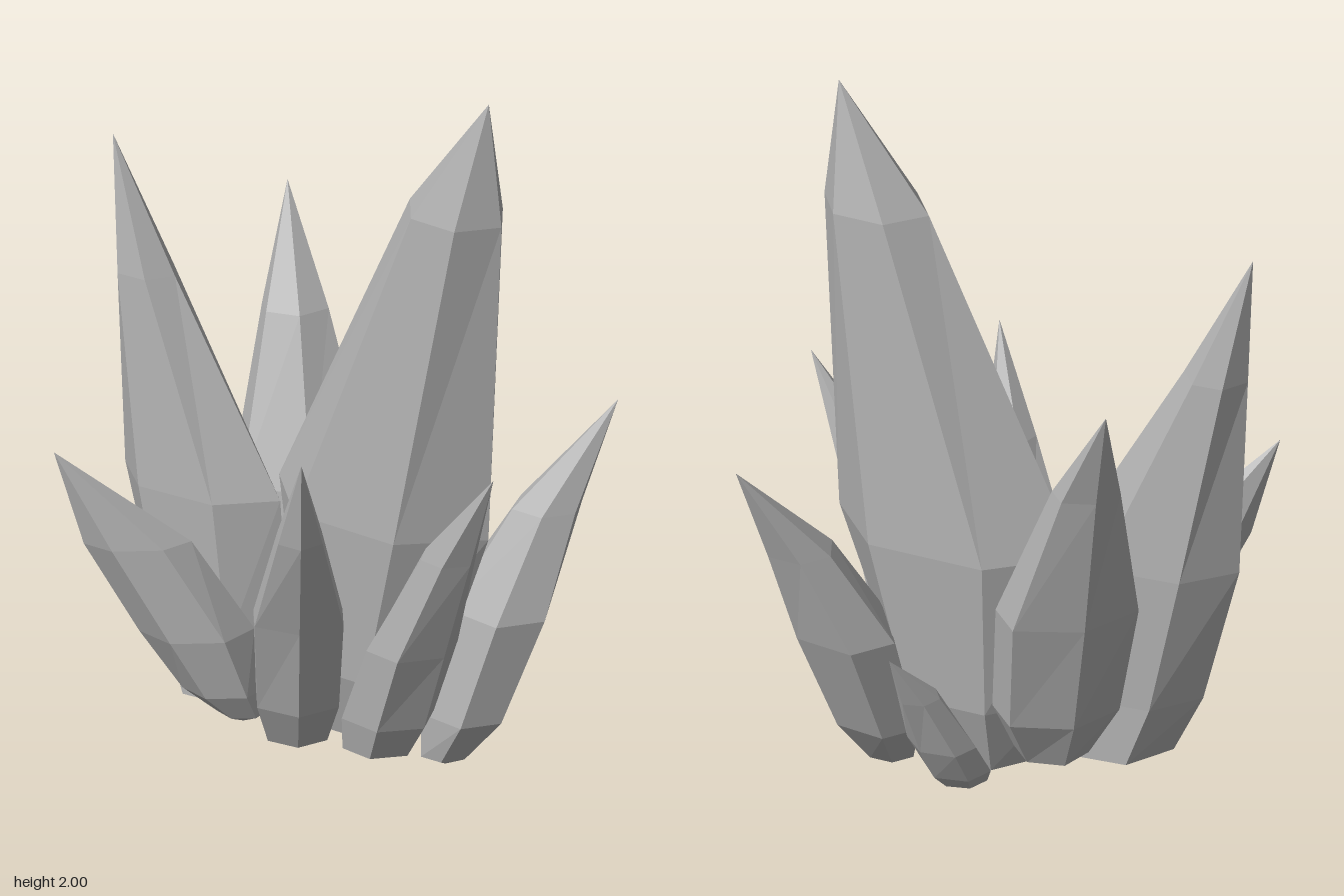
import * as THREE from 'three';

const { lerp } = THREE.MathUtils;

const stone = new THREE.MeshStandardMaterial({ color: 0xb0b0b0, flatShading: true });
stone.name = 'grey crystal';

// Ring corners: [along the lean (-1 inner .. 1 outer), across]
const HEX = [[1, 0], [0.5, 1], [-0.45, 1], [-1, 0], [-0.45, -1], [0.5, -1]];

// Each crystal leans from its root (x, z) to its tip (x, y, z).
// foot: [height, radius]; belly and shoulder: [height, inner edge, outer edge, half width].
// Edges are measured from the root along the lean.
const CRYSTALS = [
  { name: 'mainCrystal', root: [0.05, -0.07], tip: [0.5, 2, -0.03],
    foot: [0.08, 0.14], belly: [0.72, -0.27, 0.45, 0.185], shoulder: [1.65, 0.18, 0.495, 0.105] },
  { name: 'leftTallCrystal', root: [-0.28, 0.02], tip: [-0.68, 1.65, 0.02],
    foot: [0.13, 0.17], belly: [0.7, -0.14, 0.36, 0.125], shoulder: [1.28, 0.2, 0.385, 0.07] },
  { name: 'backLeftCrystal', root: [-0.17, -0.17], tip: [-0.46, 1.38, -0.5],
    foot: [0.17, 0.11], belly: [0.65, -0.02, 0.27, 0.18], shoulder: [1.08, 0.2, 0.36, 0.085] },
  { name: 'backRightCrystal', root: [0.32, -0.09], tip: [0.62, 1, -0.48],
    foot: [0.03, 0.07], belly: [0.45, 0.01, 0.3, 0.16], shoulder: [0.72, 0.19, 0.39, 0.085] },
  { name: 'backSmallCrystal', root: [0.07, -0.2], tip: [0.18, 0.51, -0.47],
    foot: [0.05, 0.07], belly: [0.19, 0, 0.17, 0.09], shoulder: [0.36, 0.11, 0.24, 0.05] },
  { name: 'frontLeftCrystal', root: [-0.18, 0.14], tip: [-0.59, 0.89, 0.445],
    foot: [0.12, 0.07], belly: [0.36, -0.03, 0.28, 0.095], shoulder: [0.62, 0.14, 0.43, 0.06] },
  { name: 'frontCrystal', root: [0, 0.15], tip: [0.245, 1.07, 0.5],
    foot: [0.1, 0.1], belly: [0.5, 0.02, 0.26, 0.12], shoulder: [0.8, 0.2, 0.38, 0.06] },
  { name: 'rightCrystal', root: [0.25, 0.13], tip: [0.68, 1.03, 0.22],
    foot: [0.12, 0.11], belly: [0.45, 0, 0.25, 0.115], shoulder: [0.75, 0.18, 0.35, 0.065] },
];

// Rings from foot to shoulder, with a hip that flares just above the foot
function crystalRings({ foot: [footY, radius], belly, shoulder }) {
  const [bellyY, inner, outer, half] = belly;
  const footHalf = radius * 0.8;
  const hip = [
    lerp(footY, bellyY, 0.3), lerp(-radius, Math.min(-radius, inner), 0.5),
    lerp(radius, outer, 0.45), lerp(footHalf, half, 0.75)];
  return [[footY, -radius, radius, footHalf], hip, belly, shoulder];
}

// Lofts hexagonal rings into a closed shard with a pointed top and a blunt root
function shardGeometry(crystal) {
  const { root, tip, foot } = crystal;
  const lean = new THREE.Vector2(tip[0] - root[0], tip[2] - root[1]).normalize();
  const place = (along, across, y) => [
    root[0] + lean.x * along - lean.y * across, y,
    root[1] + lean.y * along + lean.x * across];

  const loops = crystalRings(crystal).map(([y, inner, outer, half]) => HEX.map(([u, v]) =>
    place((inner + outer) / 2 + u * (outer - inner) / 2, v * half, y)));
  const top = loops[loops.length - 1];
  const base = place(0, 0, foot[0] - 0.03);

  const points = [];
  const face = (...corners) => corners.forEach((c) => points.push(...c));
  for (let i = 0; i < HEX.length; i++) {
    const j = (i + 1) % HEX.length;
    face(base, loops[0][i], loops[0][j]);
    for (let k = 0; k < loops.length - 1; k++) {
      const a = loops[k], b = loops[k + 1];
      face(a[j], a[i], b[i]);
      face(a[j], b[i], b[j]);
    }
    face(top[j], top[i], tip);
  }

  const geometry = new THREE.BufferGeometry();
  geometry.setAttribute('position', new THREE.Float32BufferAttribute(points, 3));
  geometry.computeVertexNormals();
  return geometry;
}

export function createModel() {
  const cluster = new THREE.Group();
  cluster.name = 'crystalCluster';
  for (const crystal of CRYSTALS) {
    const mesh = new THREE.Mesh(shardGeometry(crystal), stone);
    mesh.name = crystal.name;
    cluster.add(mesh);
  }
  return cluster;
}
